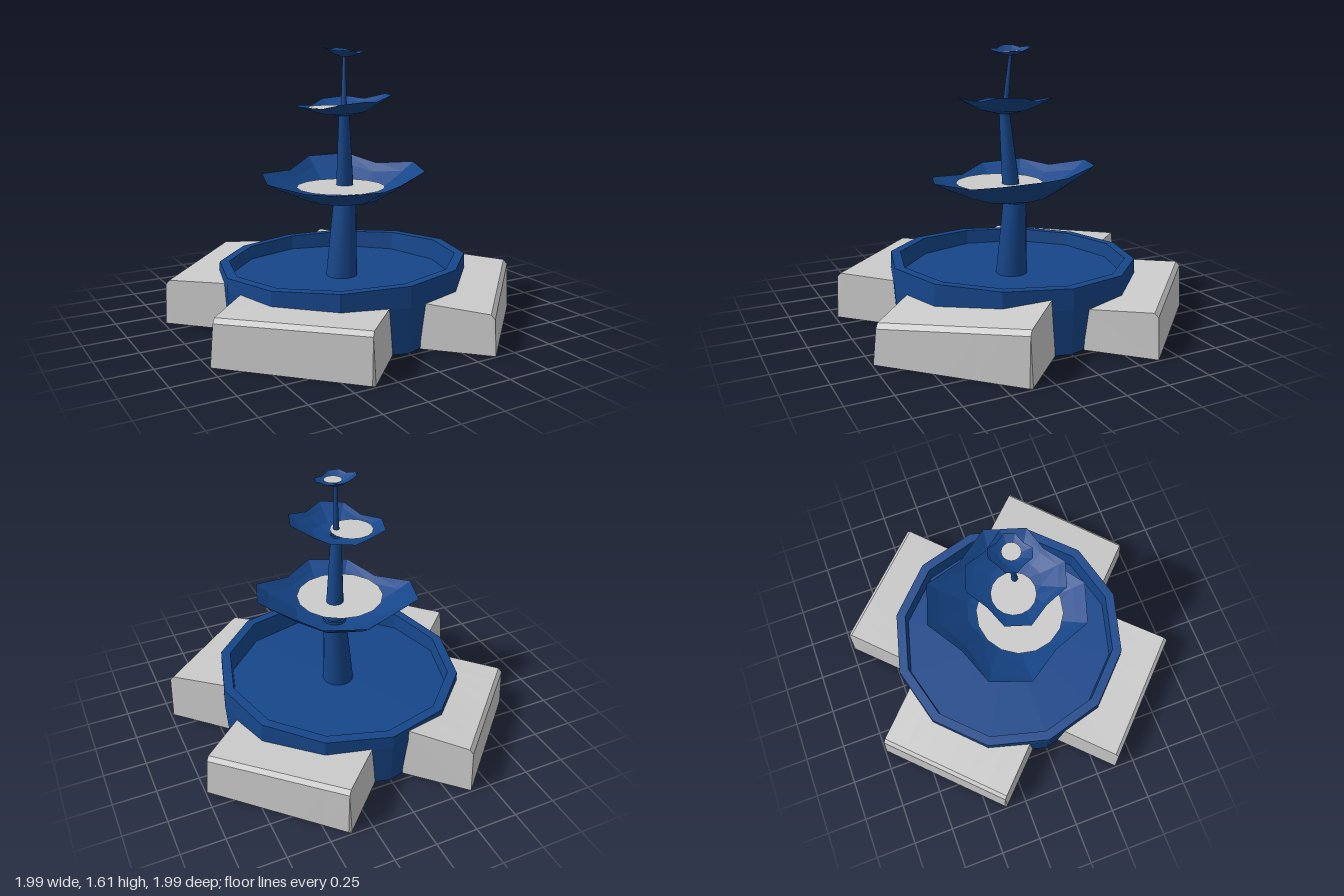
import * as THREE from 'three';

const blue = new THREE.MeshStandardMaterial({ color: 0x16468a, side: THREE.DoubleSide, flatShading: true });
const blueSmooth = new THREE.MeshStandardMaterial({ color: 0x16468a, side: THREE.DoubleSide });
const grey = new THREE.MeshStandardMaterial({ color: 0xcccccc, side: THREE.DoubleSide, flatShading: true });

function addMesh(parent, geometry, material, name) {
  const mesh = new THREE.Mesh(geometry, material);
  mesh.name = name;
  parent.add(mesh);
  return mesh;
}

// Surface through a grid of points: point(row, column) -> [x, y, z]
function gridSurface(rows, cols, point) {
  const pos = [], idx = [];
  for (let i = 0; i < rows; i++)
    for (let j = 0; j < cols; j++) pos.push(...point(i, j));
  for (let i = 0; i < rows - 1; i++)
    for (let j = 0; j < cols - 1; j++) {
      const a = i * cols + j, b = a + cols;
      idx.push(a, b, a + 1, b, b + 1, a + 1);
    }
  const g = new THREE.BufferGeometry();
  g.setAttribute('position', new THREE.Float32BufferAttribute(pos, 3));
  g.setIndex(idx);
  g.computeVertexNormals();
  return g;
}

// Leaning, tapering open tube between two [x, y, z] centres
function column(from, to, rBottom, rTop) {
  const h = to[1] - from[1];
  const g = new THREE.CylinderGeometry(rTop, rBottom, h, 16, 1, true);
  g.translate(0, h / 2, 0);
  const p = g.attributes.position;
  for (let i = 0; i < p.count; i++) {
    const t = p.getY(i) / h;
    p.setXYZ(i,
      p.getX(i) + from[0] + (to[0] - from[0]) * t,
      p.getY(i) + from[1],
      p.getZ(i) + from[2] + (to[2] - from[2]) * t);
  }
  g.computeVertexNormals();
  return g;
}

// Four-petalled dish with a tilted rim; profile is [radius fraction, height fraction]
const dishProfile = [[0, 0], [0.14, 0], [0.5, 0.24], [0.85, 0.74], [1, 1]];
function dish({ base, centre, radius, rimY, tilt, dip }) {
  return gridSurface(dishProfile.length, 13, (i, j) => {
    const [f, hf] = dishProfile[i];
    const valley = j % 3 === 2 ? 1 : 0;
    const a = (j % 12) * Math.PI / 6 + 0.05;
    const r = radius * (1 - 0.2 * valley * f);
    const dx = Math.sin(a) * r, dz = -Math.cos(a) * r;
    const rim = rimY + tilt[0] * dx + tilt[1] * dz - dip * valley;
    return [
      base[0] + (centre[0] - base[0]) * f + dx * f,
      base[1] + (rim - base[1]) * hf,
      base[2] + (centre[1] - base[2]) * f + dz * f
    ];
  });
}

// Open-bottomed plinth block pointing along +z, top height set at its four corners
// corners: [outer -x, outer +x, inner -x, inner +x]
function plinth(corners) {
  const across = [-0.435, -0.42, -0.28, -0.14, 0, 0.14, 0.28, 0.42, 0.435];
  const out = [0, 0.935, 0.957, 0.969], drop = [0, 0, 0.025, 1];
  return gridSurface(out.length, across.length, (i, j) => {
    const t = across[j];
    const r = i === 0 ? Math.sqrt(0.71 ** 2 - t * t) : out[i];
    const u = (t + 0.435) / 0.87, v = (r - 0.57) / 0.4;
    const outer = corners[0] + (corners[1] - corners[0]) * u;
    const inner = corners[2] + (corners[3] - corners[2]) * u;
    const ground = j === 0 || j === across.length - 1 || i === out.length - 1;
    return [t, ground ? 0 : inner + (outer - inner) * v - drop[i], r];
  });
}

export function createModel() {
  const model = new THREE.Group();
  model.name = 'fountain';

  // Twelve-sided basin with a slightly tilted rim
  const profile = [[0.725, 0], [0.742, 0.26], [0.738, 0.357], [0.68, 0.357], [0.67, 0.25]]
    .map(([r, y]) => new THREE.Vector2(r, y));
  const wall = new THREE.LatheGeometry(profile, 12);
  const p = wall.attributes.position;
  for (let i = 0; i < p.count; i++)
    if (p.getY(i) > 0.3) p.setY(i, p.getY(i) + 0.027 * p.getX(i) + 0.03 * p.getZ(i));
  wall.computeVertexNormals();
  addMesh(model, wall, blue, 'basinWall');
  const floor = new THREE.RingGeometry(0.088, 0.705, 12);
  floor.rotateX(-Math.PI / 2).translate(0, 0.25, 0);
  addMesh(model, floor, blue, 'basinFloor');

  // Four plinth blocks on the diagonals, each a little uneven
  const blocks = [
    [Math.PI / 4, [0.22, 0.295, 0.255, 0.325]],
    [Math.PI * 3 / 4, [0.255, 0.285, 0.23, 0.265]],
    [Math.PI * 5 / 4, [0.28, 0.26, 0.315, 0.27]],
    [Math.PI * 7 / 4, [0.26, 0.275, 0.27, 0.265]]
  ];
  blocks.forEach(([angle, corners]) => {
    addMesh(model, plinth(corners), grey, 'plinthBlock').rotation.y = angle;
  });

  // Three stacked columns
  const columns = [
    [[0, 0.25, 0], [0.027, 0.71, -0.008], 0.094, 0.068],
    [[0.02, 0.7, 0.005], [-0.008, 1.23, 0.043], 0.056, 0.031],
    [[-0.008, 1.22, 0.04], [0.01, 1.565, 0.012], 0.019, 0.009]
  ];
  columns.forEach((c) => addMesh(model, column(...c), blueSmooth, 'column'));

  // Petal dishes with their water discs: [x, y, z, radius]
  const dishes = [
    { base: [0.02, 0.69, -0.005], centre: [0.01, 0], radius: 0.485, rimY: 0.875, tilt: [0.07, -0.068], dip: 0.03, water: [-0.04, 0.805, 0.06, 0.26] },
    { base: [-0.008, 1.22, 0.043], centre: [-0.012, 0.04], radius: 0.28, rimY: 1.308, tilt: [0.1, 0.045], dip: 0.02, water: [-0.085, 1.268, 0, 0.125] },
    { base: [0.01, 1.555, 0.012], centre: [0.007, 0.015], radius: 0.118, rimY: 1.597, tilt: [-0.09, -0.08], dip: 0.01, water: [0.02, 1.58, 0.025, 0.052] }
  ];
  dishes.forEach((d) => {
    addMesh(model, dish(d), blue, 'dish');
    const [x, y, z, r] = d.water;
    const disc = new THREE.CircleGeometry(r, 16);
    disc.rotateX(-Math.PI / 2).translate(x, y, z);
    addMesh(model, disc, grey, 'water');
  });

  return model;
}
